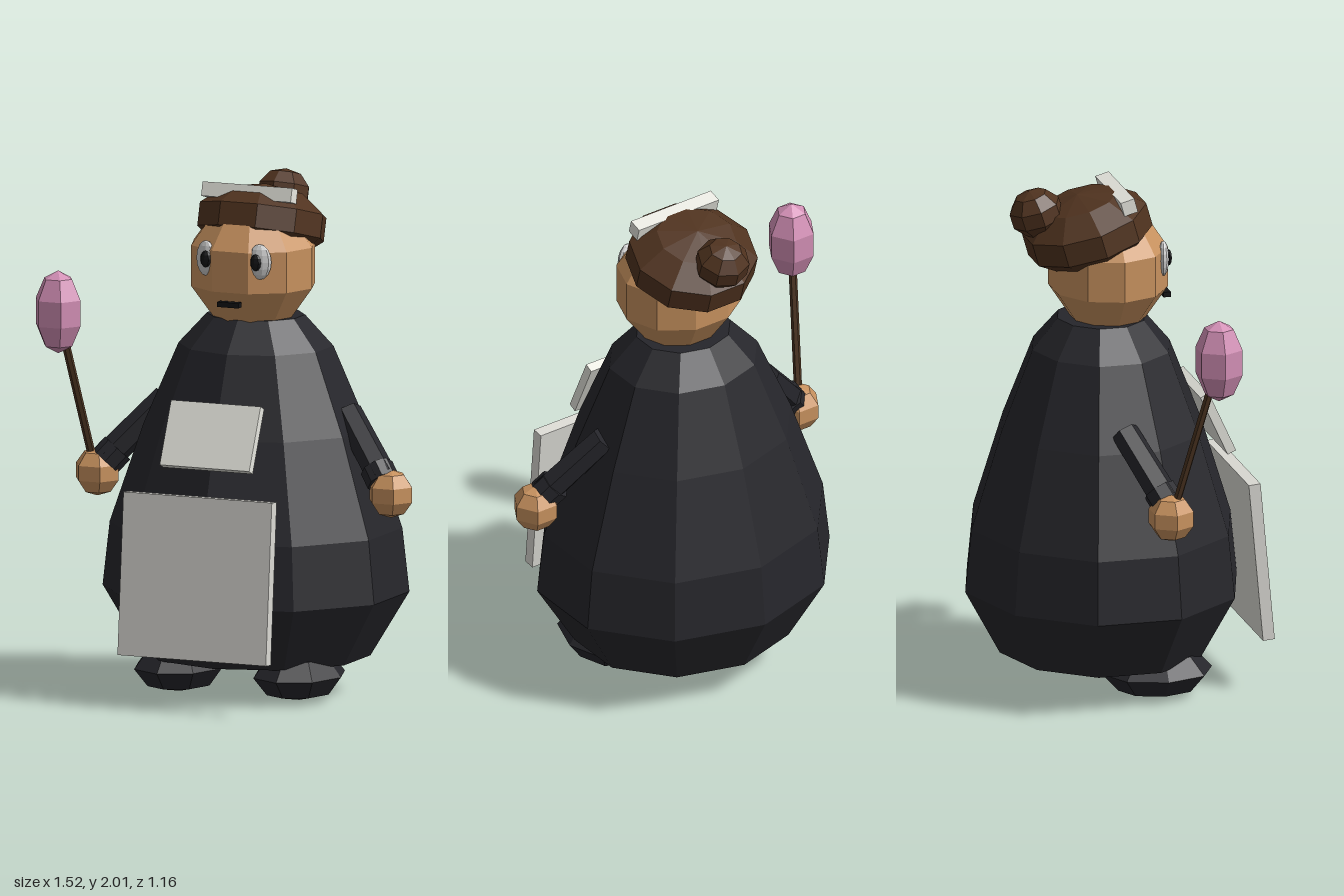
import * as THREE from 'three';

const CX = 0.047; // axis of the figure

const mat = (color) => new THREE.MeshStandardMaterial({ color, flatShading: true });
const robeMat = mat(0x26262b), skinMat = mat(0xc8925f), hairMat = mat(0x50331f);
const pinkMat = mat(0xd28fb5), plateMat = mat(0xdcdbd5), paleMat = mat(0xe8e8e0);
const eyeMat = mat(0xeeeeee), darkMat = mat(0x141416), stickMat = mat(0x4a3320);

export function createModel() {
  const model = new THREE.Group();
  model.name = 'figure';

  function add(name, geometry, material, x, y, z, tilt = 0) {
    const mesh = new THREE.Mesh(geometry, material);
    mesh.name = name;
    mesh.position.set(x, y, z);
    mesh.rotation.x = tilt;
    model.add(mesh);
    return mesh;
  }

  // Faceted ellipsoid with radii rx, ry, rz
  const blob = (rx, ry, rz, sides, rows) =>
    new THREE.SphereGeometry(1, sides, rows).scale(rx, ry, rz);

  // Tapered rod between two points
  function rod(name, from, to, rFrom, rTo, sides, material) {
    const a = new THREE.Vector3(...from), b = new THREE.Vector3(...to);
    const dir = b.clone().sub(a);
    const mesh = add(name, new THREE.CylinderGeometry(rTo, rFrom, dir.length(), sides), material, 0, 0, 0);
    mesh.position.copy(a).add(b).multiplyScalar(0.5);
    mesh.quaternion.setFromUnitVectors(new THREE.Vector3(0, 1, 0), dir.normalize());
    return mesh;
  }

  // Robe: ten-sided bell, slightly flattened front to back
  const profile = [
    [0, 0.145], [0.452, 0.145], [0.606, 0.4], [0.578, 0.65],
    [0.444, 1.04], [0.306, 1.36], [0.194, 1.48], [0, 1.48],
  ].map(([r, y]) => new THREE.Vector2(r, y));
  add('robe', new THREE.LatheGeometry(profile, 10).scale(1, 1, 0.9), robeMat, CX, 0, -0.035);

  // Head, hair and bun
  add('head', blob(0.263, 0.26, 0.243, 10, 5), skinMat, CX, 1.68, -0.007);
  add('hair', blob(0.267, 0.15, 0.263, 10, 5), hairMat, CX, 1.832, -0.09, -0.28);
  add('hairBun', blob(0.11, 0.095, 0.108, 8, 5), hairMat, CX, 1.915, -0.295, -0.3);

  // Face
  add('mouth', new THREE.BoxGeometry(0.09, 0.02, 0.03), darkMat, CX, 1.555, 0.22);

  // Flat pieces: cap tag, chest panel and apron
  add('headTag', new THREE.BoxGeometry(0.38, 0.056, 0.056), paleMat, CX, 1.965, 0.028, -0.27);
  add('chestPanel', new THREE.BoxGeometry(0.38, 0.262, 0.037), paleMat, CX, 1.06, 0.385, -0.43);
  add('apron', new THREE.BoxGeometry(0.63, 0.636, 0.047), plateMat, CX, 0.525, 0.526, -0.09);

  // Mirrored parts
  for (const [side, s] of [['left', 1], ['right', -1]]) {
    const eye = add(side + 'Eye', blob(0.046, 0.07, 0.022, 10, 8), eyeMat, CX + s * 0.114, 1.725, 0.185);
    eye.rotation.y = s * 0.25;
    add(side + 'Pupil', blob(0.023, 0.033, 0.014, 8, 6), darkMat, CX + s * 0.106, 1.725, 0.207);

    rod(side + 'Arm', [CX + s * 0.385, 1.12, -0.045], [CX + s * 0.585, 0.89, 0.07], 0.055, 0.06, 6, robeMat);
    rod(side + 'Cuff', [CX + s * 0.55, 0.925, 0.05], [CX + s * 0.59, 0.875, 0.075], 0.066, 0.066, 8, robeMat);
    add(side + 'Hand', blob(0.095, 0.095, 0.095, 6, 5), skinMat, CX + s * 0.623, 0.833, 0.078);

    add(side + 'Foot', blob(0.177, 0.1, 0.22, 8, 4), robeMat, CX + s * 0.253, 0.102, 0.122);
  }

  // Wand held in the right hand
  const grip = [-0.585, 0.84, 0.08], tip = [-0.668, 1.48, 0.245];
  rod('wandStick', grip, tip, 0.016, 0.016, 6, stickMat);
  add('wandHead', blob(0.1, 0.163, 0.1, 6, 5), pinkMat, ...tip);

  return model;
}
